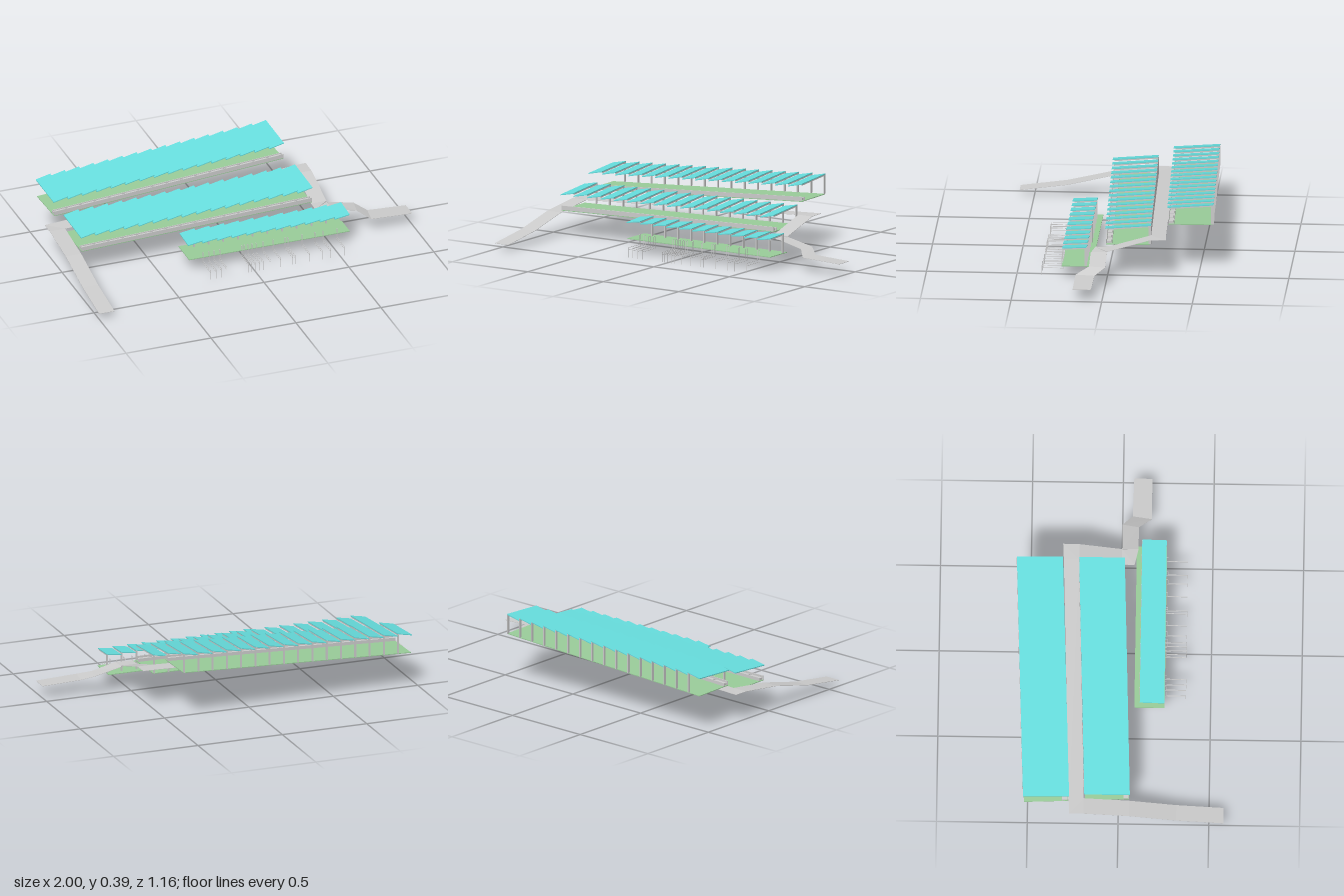
import * as THREE from 'three';

const paint = (color) => new THREE.MeshStandardMaterial({ color, side: THREE.DoubleSide, flatShading: true });
const grey = paint(0xcccccc);
const cyan = paint(0x66dddd);
const green = paint(0x99cc99);

// Slab from four top corners (back-left, front-left, front-right, back-right) and a thickness
function slab(name, corners, t, material) {
  const low = corners.map(([x, y, z]) => [x, y - t, z]);
  const pos = [];
  const quad = (a, b, c, d) => pos.push(...a, ...b, ...c, ...a, ...c, ...d);
  quad(...corners);
  quad(...[...low].reverse());
  for (let i = 0; i < 4; i++) {
    const j = (i + 1) % 4;
    quad(corners[i], low[i], low[j], corners[j]);
  }
  const g = new THREE.BufferGeometry();
  g.setAttribute('position', new THREE.Float32BufferAttribute(pos, 3));
  g.computeVertexNormals();
  const m = new THREE.Mesh(g, material);
  m.name = name;
  return m;
}

// Slab over a rectangle in x and z, with y given by a function of (x, z)
function plate(name, x0, x1, z0, z1, y, t, material) {
  const at = (x, z) => [x, y(x, z), z];
  return slab(name, [at(x0, z0), at(x0, z1), at(x1, z1), at(x1, z0)], t, material);
}

// One terrace: sloping floor, sawtooth roof, rear columns, optional bench row.
// Local origin is the rear left roof corner; x runs along the terrace, z to the front.
function terrace(name, o) {
  const g = new THREE.Group();
  g.name = name;
  g.position.set(o.x, 0, o.z);
  g.rotation.y = o.turn;
  const pitch = o.length / o.bays;
  const floorY = (x) => o.floor[0] + (o.floor[1] - o.floor[0]) * x / o.length;
  g.add(plate('floor', 0.005, o.length, o.floorZ[0], o.floorZ[1], floorY, 0.004, green));

  for (let i = 0; i < o.bays; i++) {
    const x0 = i * pitch, x1 = x0 + pitch;
    const roofY = (x, z) => o.roof[0] + i * o.step + (x - x0) / pitch * o.rise
      + (o.roof[1] - o.roof[0]) * z / o.depth;
    g.add(plate('roofPanel', x0, x1, 0, o.depth, roofY, 0.005, cyan));

    // Rear column and the cantilevered rafter it carries
    const top = roofY(x1, 0) - 0.004, foot = floorY(x1);
    const column = new THREE.Mesh(new THREE.BoxGeometry(0.006, top - foot, 0.015), grey);
    column.name = 'column';
    column.position.set(x1 - 0.004, (top + foot) / 2, 0.005);
    g.add(column);
    g.add(plate('rafter', x1 - 0.007, x1 - 0.002, 0, o.depth - 0.01,
      (x, z) => roofY(x, z) - 0.005, 0.007, grey));

    // Bench between the front and rear rails
    if (o.bench) {
      g.add(plate('bench', x0 + 0.008, x1 - 0.008, o.depth - 0.032, o.depth - 0.01,
        (x) => floorY(x) + 0.014, 0.012, grey));
    }
  }
  if (o.bench) {
    for (const [z, h] of [[o.depth - 0.008, 0.024], [o.depth - 0.038, 0.018]]) {
      g.add(plate('rail', 0.005, o.length, z, z + 0.004, (x) => floorY(x) + h, h, grey));
    }
  }
  return g;
}

// Ramp: consecutive cross-sections, each as [left point, right point] walking uphill and round
function ramp() {
  const g = new THREE.Group();
  g.name = 'ramp';
  const across = (y, z) => [[-1, y, z], [-0.91, y, z]];
  const sections = [
    across(0.035, 0.58), across(0.07, 0.32), across(0.13, 0.06), across(0.16, -0.19),
    [[-1, 0.16, -0.27], [-0.91, 0.16, -0.19]],
    [[0.465, 0.222, -0.32], [0.465, 0.222, -0.235]],
    [[0.556, 0.225, -0.325], [0.465, 0.222, -0.235]],
    [[0.556, 0.222, -0.235], [0.465, 0.222, -0.235]],
    [[0.556, 0.152, 0], [0.465, 0.152, 0]],
    [[0.556, 0.148, 0], [0.465, 0.15, 0.07]],
    [[0.56, 0.145, 0], [0.56, 0.145, 0.09]],
    [[0.715, 0.11, 0], [0.7, 0.11, 0.09]],
    [[0.775, 0.08, 0.055], [0.76, 0.08, 0.16]],
    [[1, 0.07, 0.06], [1, 0.07, 0.16]],
  ];
  for (let i = 0; i + 1 < sections.length; i++) {
    const [a, b] = sections[i], [d, c] = sections[i + 1];
    g.add(slab('rampSection', [a, b, c, d], 0.002, grey));
  }
  return g;
}

// Thin stepped frame in the y-z plane
function steppedFrame(x) {
  const g = new THREE.Group();
  g.name = 'steppedFrame';
  g.position.x = x;
  const bars = [ // z0, y0, z1, y1
    [0.363, 0, 0.363, 0.055], [0.363, 0.055, 0.255, 0.055], [0.255, 0.055, 0.255, 0.108],
    [0.255, 0.108, 0.24, 0.108], [0.24, 0.108, 0.24, 0.042], [0.24, 0.042, 0.363, 0.042],
  ];
  const w = 0.002;
  for (const [z0, y0, z1, y1] of bars) {
    const bar = new THREE.Mesh(
      new THREE.BoxGeometry(w, Math.abs(y1 - y0) || w, Math.abs(z1 - z0) || w), grey);
    bar.name = 'frameBar';
    bar.position.set(0, (y0 + y1) / 2, (z0 + z1) / 2);
    g.add(bar);
  }
  return g;
}

export function createModel() {
  const model = new THREE.Group();
  model.name = 'terracedPavilion';

  model.add(terrace('upperTerrace', {
    x: -0.957, z: -0.524, turn: 0.0393, length: 1.375, depth: 0.254, bays: 16,
    floor: [0.205, 0.278], floorZ: [0.005, 0.25],
    roof: [0.309, 0.293], step: 0.0043, rise: 0.018, bench: true,
  }));
  model.add(terrace('middleTerrace', {
    x: -0.92, z: -0.187, turn: 0.035, length: 1.38, depth: 0.251, bays: 16,
    floor: [0.145, 0.169], floorZ: [0.005, 0.247],
    roof: [0.25, 0.232], step: 0.0008, rise: 0.017, bench: true,
  }));
  model.add(terrace('lowerTerrace', {
    x: -0.35, z: 0.11, turn: 0, length: 0.95, depth: 0.135, bays: 11,
    floor: [0.08, 0.08], floorZ: [-0.03, 0.137],
    roof: [0.178, 0.17], step: 0, rise: 0.013, bench: false,
  }));
  model.add(ramp());

  // Irregularly spaced frames along the front of the lower terrace
  const frameX = [-0.262, -0.23, -0.198, -0.166, -0.037, -0.02, 0, 0.027, 0.048, 0.09,
    0.15, 0.22, 0.235, 0.32, 0.395, 0.444, 0.525];
  for (const x of frameX) model.add(steppedFrame(x));
  return model;
}
